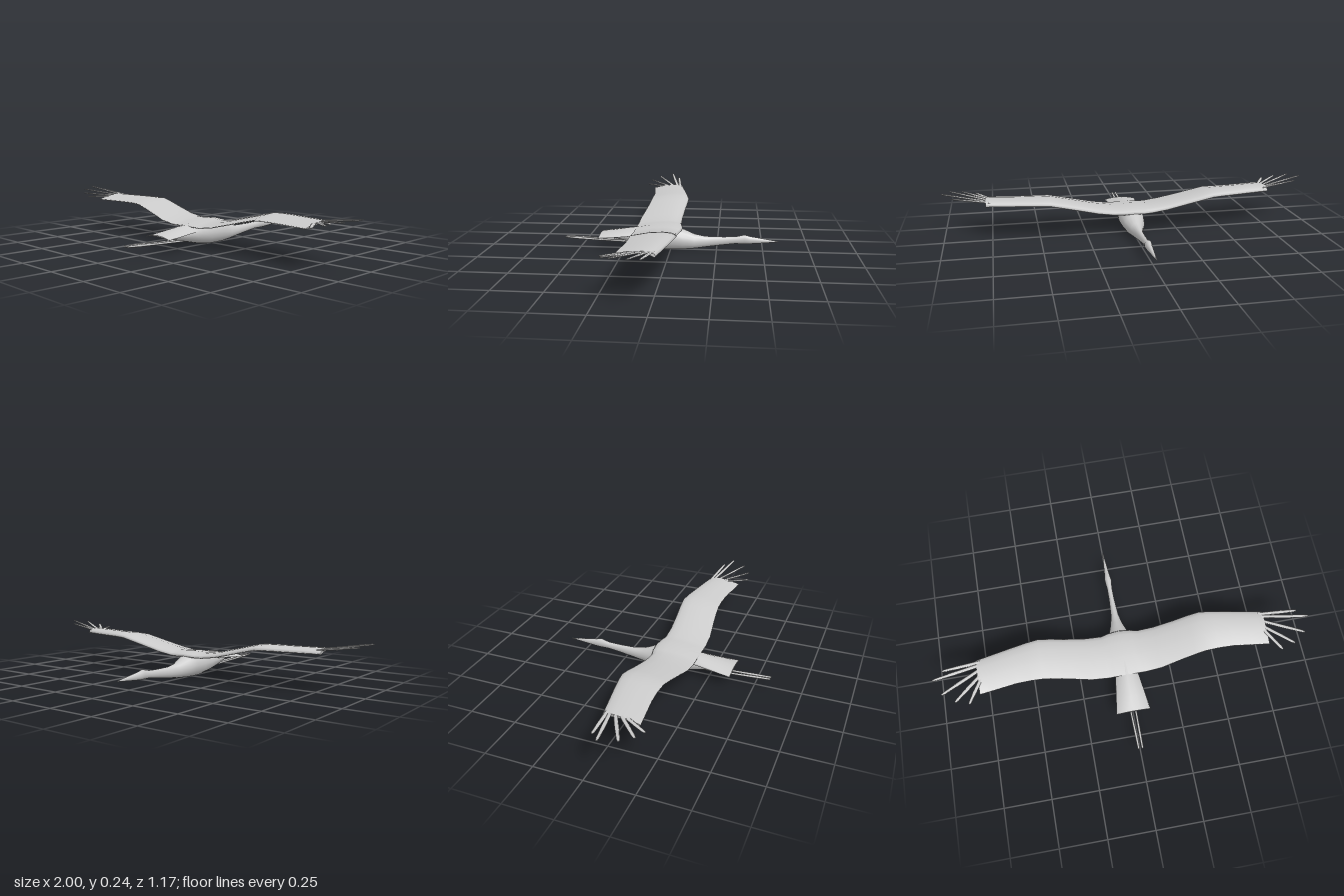
import * as THREE from 'three';

const material = new THREE.MeshStandardMaterial({ color: 0xcccccc });

// Skins a list of equal-length rings (counter-clockwise about the loft direction) and caps both ends.
function loft(name, rings) {
  const n = rings[0].length, last = rings.length - 1;
  const pos = rings.flat().flatMap(p => [p.x, p.y, p.z]);
  const index = [];
  for (let i = 0; i < last; i++) {
    for (let j = 0; j < n; j++) {
      const k = (j + 1) % n;
      const a = i * n + j, b = a + n, d = i * n + k, c = d + n;
      index.push(a, d, c, a, c, b);
    }
  }
  for (const [ring, flip] of [[rings[0], true], [rings[last], false]]) {
    const start = pos.length / 3;
    ring.forEach(p => pos.push(p.x, p.y, p.z));
    const tris = THREE.ShapeUtils.triangulateShape(capOutline(ring), []);
    for (const [a, b, c] of tris) {
      index.push(start + a, start + (flip ? c : b), start + (flip ? b : c));
    }
  }
  const geometry = new THREE.BufferGeometry();
  geometry.setAttribute('position', new THREE.Float32BufferAttribute(pos, 3));
  geometry.setIndex(index);
  geometry.computeVertexNormals();
  const mesh = new THREE.Mesh(geometry, material);
  mesh.name = name;
  return mesh;
}

// Flattens an end ring into 2D, seen along the loft direction.
function capOutline(ring) {
  const normal = new THREE.Vector3();
  ring.forEach((p, i) => normal.add(new THREE.Vector3().crossVectors(p, ring[(i + 1) % ring.length])));
  normal.normalize();
  const side = new THREE.Vector3(0, 1, 0).cross(normal).normalize();
  const up = new THREE.Vector3().crossVectors(normal, side);
  return ring.map(p => new THREE.Vector2(p.dot(side), p.dot(up)));
}

// Elliptical loft through sections [x, y, z, halfWidth, halfHeight, droop].
function spindle(name, sections, sides) {
  const first = sections[0], end = sections[sections.length - 1];
  const dir = new THREE.Vector3(end[0] - first[0], 0, end[2] - first[2]).normalize();
  const side = new THREE.Vector3(0, 1, 0).cross(dir);
  return loft(name, sections.map(([x, y, z, w, h, droop = 0]) =>
    Array.from({ length: sides }, (_, j) => {
      const a = (j / sides) * Math.PI * 2, c = Math.cos(a);
      return new THREE.Vector3(x, y + Math.sin(a) * h - droop * c * c, z).addScaledVector(side, c * w);
    })));
}

export function createModel() {
  const bird = new THREE.Group();
  bird.name = 'flyingBird';

  // Beak, head, neck and body: [z, bottom, top, halfWidth]
  const profile = [
    [-0.583, 0.058, 0.062, 0.002], [-0.5, 0.05, 0.075, 0.009], [-0.43, 0.044, 0.086, 0.015],
    [-0.4, 0.043, 0.094, 0.019], [-0.35, 0.043, 0.082, 0.014], [-0.28, 0.034, 0.08, 0.015],
    [-0.19, 0.021, 0.081, 0.021], [-0.13, 0.012, 0.092, 0.034], [-0.07, 0.007, 0.118, 0.055],
    [-0.02, 0.005, 0.136, 0.063], [0.05, 0.006, 0.14, 0.066], [0.12, 0.017, 0.135, 0.064],
    [0.19, 0.034, 0.124, 0.055], [0.27, 0.053, 0.11, 0.038], [0.35, 0.075, 0.092, 0.016],
  ];
  bird.add(spindle('body', profile.map(([z, b, t, w]) => [0, (b + t) / 2, z, w, (t - b) / 2]), 16));

  // Fanned tail, arched across its width
  bird.add(spindle('tail', [
    [0, 0.12, 0.13, 0.055, 0.006, 0.03], [0, 0.118, 0.2, 0.066, 0.006, 0.03],
    [0, 0.103, 0.3, 0.08, 0.005, 0.022], [0, 0.088, 0.385, 0.092, 0.003, 0.012],
  ], 16));

  // Both wings in one loft: [x, leading z, trailing z, base height]
  const half = [
    [0, -0.065, 0.19, 0.122], [0.06, -0.06, 0.19, 0.119], [0.1, -0.05, 0.19, 0.118],
    [0.19, -0.05, 0.187, 0.131], [0.3, -0.057, 0.17, 0.158], [0.38, -0.065, 0.16, 0.178],
    [0.44, -0.068, 0.155, 0.192], [0.5, -0.06, 0.153, 0.194], [0.58, -0.046, 0.155, 0.194],
    [0.68, -0.027, 0.168, 0.194], [0.775, -0.009, 0.18, 0.194],
  ];
  const stations = [...half.slice(1).reverse().map(([x, ...rest]) => [-x, ...rest]), ...half];
  // Cambered section: [fraction of chord, height]
  const airfoil = [
    [0, 0], [0.03, 0.011], [0.12, 0.019], [0.3, 0.023], [0.6, 0.018], [1, 0.001],
    [1, -0.004], [0.6, 0.008], [0.3, 0.009], [0.12, 0.003], [0.03, -0.005],
  ];
  bird.add(loft('wings', stations.map(([x, lead, trail, y]) =>
    airfoil.map(([u, h]) => new THREE.Vector3(x, y + h, lead + u * (trail - lead))))));

  // Spread wingtip feathers: [root x, root z, tip x, tip y, tip z]
  const feathers = [
    [0.74, 0.008, 0.95, 0.232, 0.033], [0.74, 0.022, 1.0, 0.247, 0.08],
    [0.74, 0.04, 0.962, 0.238, 0.162], [0.74, 0.063, 0.9, 0.222, 0.208],
    [0.75, 0.085, 0.832, 0.207, 0.226],
  ];
  for (const s of [1, -1]) {
    const name = s > 0 ? 'left' : 'right';
    feathers.forEach(([x, z, tx, ty, tz], i) => {
      const at = (f, w, h) => [
        s * THREE.MathUtils.lerp(x, tx, f), THREE.MathUtils.lerp(0.207, ty, f),
        THREE.MathUtils.lerp(z, tz, f), w, h];
      bird.add(spindle(`${name}Feather${i + 1}`,
        [at(0, 0.01, 0.005), at(0.6, 0.01, 0.004), at(0.93, 0.008, 0.003), at(1, 0.005, 0.002)], 6));
    });

    // Trailing legs with folded feet
    bird.add(spindle(`${name}Leg`, [
      [s * 0.016, 0.046, 0.14, 0.008, 0.007], [s * 0.014, 0.046, 0.25, 0.007, 0.006],
      [s * 0.013, 0.052, 0.4, 0.006, 0.006], [s * 0.011, 0.057, 0.5, 0.007, 0.007],
      [s * 0.01, 0.061, 0.583, 0.006, 0.005],
    ], 8));
  }
  return bird;
}
